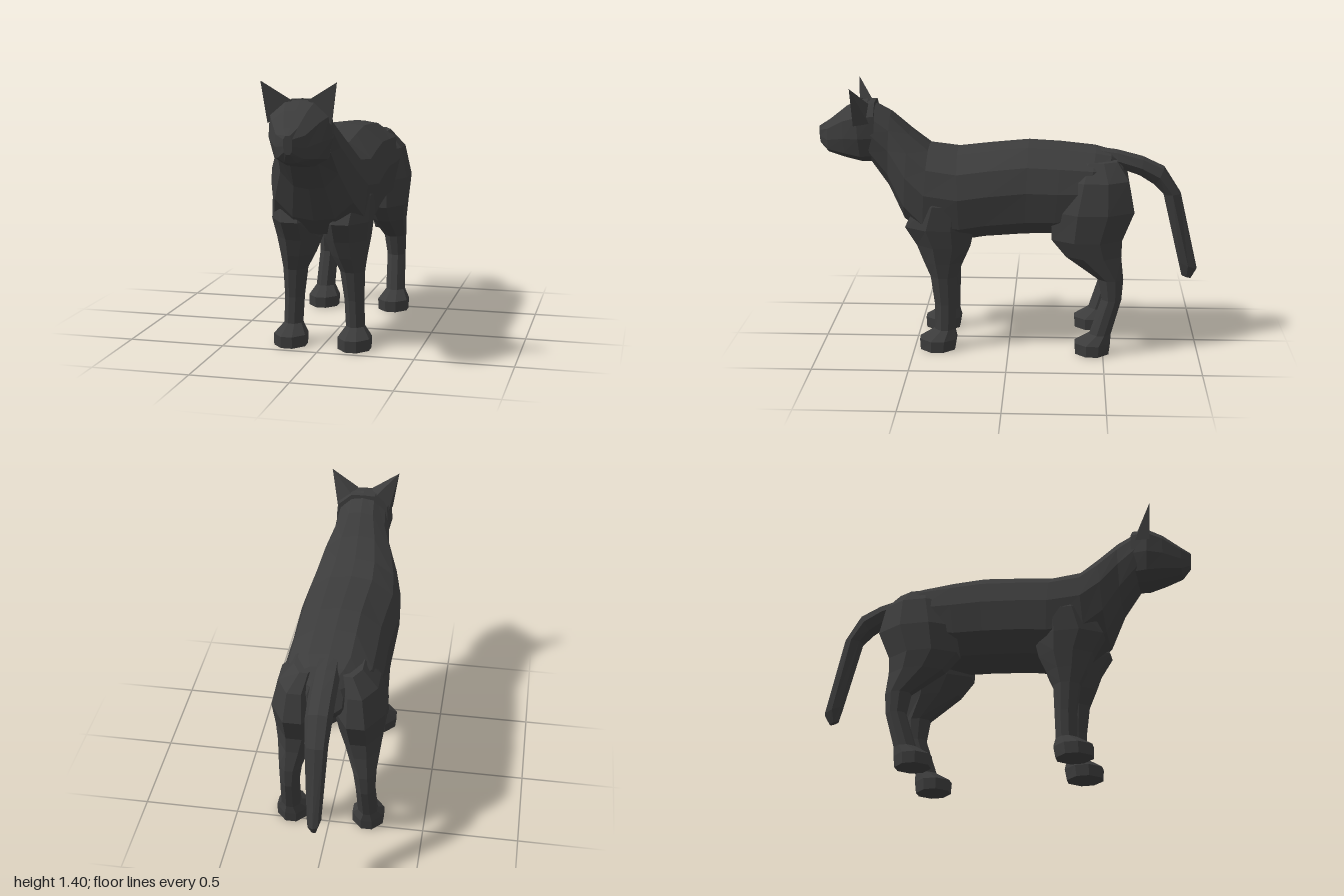
import * as THREE from 'three';
import { ConvexGeometry } from 'three/addons/geometries/ConvexGeometry.js';

const fur = new THREE.MeshStandardMaterial({ color: 0x3c3c3c, flatShading: true });
fur.name = 'charcoalFur';

// Joins equal-sized rings of [x, y, z] into a closed skin with capped ends
function loft(rings) {
  const n = rings[0].length, pos = rings.flat(2), idx = [];
  for (let r = 0; r < rings.length - 1; r++)
    for (let i = 0; i < n; i++) {
      const a = r * n + i, b = r * n + (i + 1) % n;
      idx.push(a, b, b + n, a, b + n, a + n);
    }
  const last = (rings.length - 1) * n;
  for (let i = 1; i < n - 1; i++) {
    idx.push(0, i + 1, i);
    idx.push(last, last + i, last + i + 1);
  }
  // Turn the faces outward: a negative volume means the skin is inside out
  let volume = 0;
  const p = (i) => new THREE.Vector3().fromArray(pos, i * 3);
  for (let i = 0; i < idx.length; i += 3)
    volume += p(idx[i]).dot(p(idx[i + 1]).cross(p(idx[i + 2])));
  if (volume < 0) idx.reverse();
  const g = new THREE.BufferGeometry();
  g.setAttribute('position', new THREE.Float32BufferAttribute(pos, 3));
  g.setIndex(idx);
  const flat = g.toNonIndexed();
  flat.computeVertexNormals();
  return flat;
}

// Half outlines as [share of half width, share of the way from top to bottom]
const TORSO = [[0, 0], [0.42, 0.03], [0.84, 0.2], [1, 0.46], [0.93, 0.79], [0.5, 0.97], [0, 1]];
const HEAD = [[0, 0], [0.45, 0.01], [0.94, 0.2], [1, 0.55], [0.84, 0.86], [0.42, 0.98], [0, 1]];
const TAIL = [[0, 0], [0.7, 0.08], [1, 0.5], [0.6, 0.92], [0, 1]];

// Symmetric ring from [topY, topZ, bottomY, bottomZ, halfWidth]
function spineRing([ty, tz, by, bz, w], profile) {
  const half = profile.map(([u, t]) => [u * w, ty + (by - ty) * t, tz + (bz - tz) * t]);
  const other = half.slice(1, -1).reverse().map(([x, y, z]) => [-x, y, z]);
  return [...half, ...other];
}

// Level eight-sided ring from [y, innerX, outerX, backZ, frontZ]
function legRing([y, x0, x1, z0, z1], side) {
  const k = 0.36;
  return [[1, -k], [1, k], [k, 1], [-k, 1], [-1, k], [-1, -k], [-k, -1], [k, -1]].map(([u, v]) => [
    side * ((x0 + x1) / 2 + u * (x1 - x0) / 2), y, (z0 + z1) / 2 + v * (z1 - z0) / 2]);
}

const torso = [
  [1.00, -0.59, 0.82, -0.61, 0.09],
  [1.05, -0.53, 0.71, -0.50, 0.20],
  [1.07, -0.45, 0.65, -0.37, 0.25],
  [1.09, -0.27, 0.62, -0.23, 0.252],
  [1.10, -0.10, 0.615, -0.08, 0.25],
  [1.08, 0.10, 0.60, 0.13, 0.26],
  [1.06, 0.27, 0.58, 0.25, 0.268],
  [1.08, 0.42, 0.60, 0.45, 0.25],
  [1.16, 0.52, 0.69, 0.55, 0.215],
  [1.25, 0.62, 0.86, 0.63, 0.157],
  [1.315, 0.74, 0.99, 0.72, 0.142],
];
const head = [
  [1.31, 0.70, 0.99, 0.69, 0.142],
  [1.305, 0.79, 0.99, 0.77, 0.157],
  [1.27, 0.86, 1.01, 0.86, 0.125],
  [1.20, 0.95, 1.035, 0.95, 0.075],
  [1.17, 1.0, 1.08, 0.995, 0.022],
];
const tail = [
  [1.07, -0.42, 1.0, -0.42, 0.06],
  [1.055, -0.56, 0.96, -0.57, 0.068],
  [1.02, -0.70, 0.92, -0.68, 0.068],
  [0.97, -0.81, 0.87, -0.76, 0.067],
  [0.83, -0.90, 0.82, -0.81, 0.058],
  [0.41, -1.0, 0.45, -0.90, 0.036],
  [0.355, -0.97, 0.37, -0.92, 0.015],
];
const frontLeg = [
  [0.88, 0.08, 0.215, 0.25, 0.43],
  [0.80, 0.05, 0.255, 0.20, 0.48],
  [0.67, 0.01, 0.25, 0.18, 0.54],
  [0.57, 0.015, 0.235, 0.20, 0.48],
  [0.48, 0.05, 0.22, 0.24, 0.445],
  [0.40, 0.09, 0.21, 0.275, 0.41],
  [0.25, 0.11, 0.205, 0.28, 0.39],
  [0.11, 0.118, 0.21, 0.285, 0.39],
  [0.06, 0.085, 0.252, 0.275, 0.47],
  [0, 0.087, 0.25, 0.285, 0.467],
];
const hindLeg = [
  [1.02, 0.05, 0.17, -0.56, -0.34],
  [0.93, 0.05, 0.25, -0.62, -0.28],
  [0.77, 0.03, 0.287, -0.65, -0.22],
  [0.62, 0.05, 0.277, -0.59, -0.225],
  [0.53, 0.085, 0.264, -0.587, -0.30],
  [0.41, 0.135, 0.25, -0.60, -0.47],
  [0.30, 0.15, 0.247, -0.592, -0.49],
  [0.11, 0.155, 0.255, -0.54, -0.43],
  [0.06, 0.12, 0.285, -0.537, -0.35],
  [0, 0.122, 0.283, -0.53, -0.355],
];
// Tip, inner front, outer front, outer back and inner back corners
const ear = [[0.185, 1.40, 0.81], [0.04, 1.31, 0.79], [0.155, 1.2, 0.80], [0.14, 1.21, 0.72], [0.06, 1.29, 0.72]];

export function createModel() {
  const model = new THREE.Group();
  model.name = 'cat';
  const add = (name, geometry) => {
    const mesh = new THREE.Mesh(geometry, fur);
    mesh.name = name;
    model.add(mesh);
  };

  // Trunk with neck, head and tail
  add('torso', loft(torso.map((s) => spineRing(s, TORSO))));
  add('head', loft(head.map((s) => spineRing(s, HEAD))));
  add('tail', loft(tail.map((s) => spineRing(s, TAIL))));

  // Legs with paws, and ears, on both sides
  for (const [side, label] of [[1, 'left'], [-1, 'right']]) {
    add(label + 'FrontLeg', loft(frontLeg.map((s) => legRing(s, side))));
    add(label + 'HindLeg', loft(hindLeg.map((s) => legRing(s, side))));
    add(label + 'Ear', new ConvexGeometry(ear.map(([x, y, z]) => new THREE.Vector3(side * x, y, z))));
  }
  return model;
}
